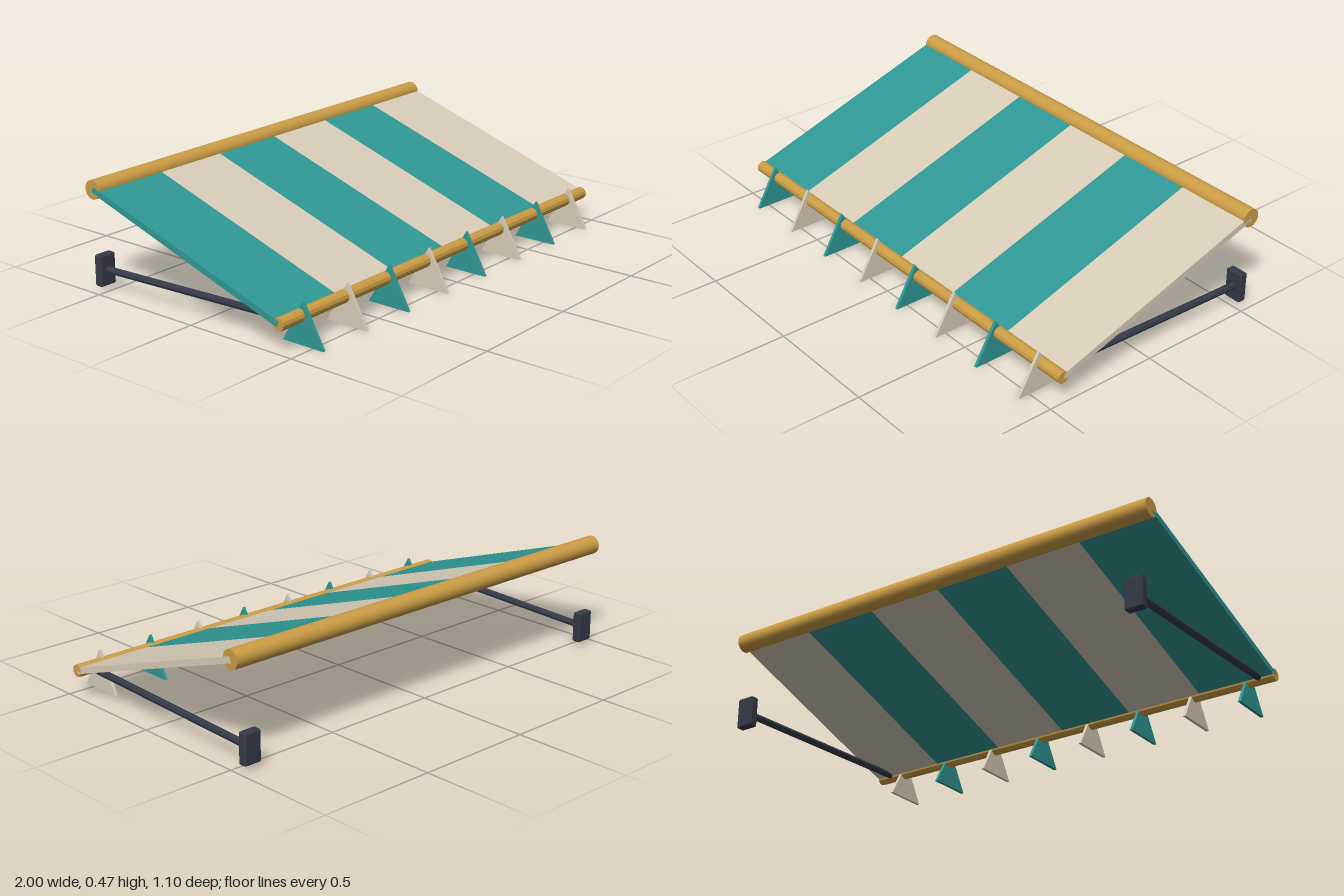
import * as THREE from 'three';
import { RoundedBoxGeometry } from 'three/addons/geometries/RoundedBoxGeometry.js';

const teal = new THREE.MeshStandardMaterial({ name: 'teal cloth', color: 0x2f9895 });
const cream = new THREE.MeshStandardMaterial({ name: 'cream cloth', color: 0xd8cdb9 });
const wood = new THREE.MeshStandardMaterial({ name: 'golden wood', color: 0xcc9d45 });
const iron = new THREE.MeshStandardMaterial({ name: 'dark iron', color: 0x343a48 });
// Same wood, faceted for the front rail
const facetedWood = wood.clone();
facetedWood.flatShading = true;
const facetedIron = iron.clone();
facetedIron.flatShading = true;

export function createModel() {
  const group = new THREE.Group();
  group.name = 'awning';

  const add = (name, geometry, material, x = 0, y = 0, z = 0) => {
    const mesh = new THREE.Mesh(geometry, material);
    mesh.name = name;
    mesh.position.set(x, y, z);
    group.add(mesh);
    return mesh;
  };

  // Rails along x: thick at the wall, thin at the front edge
  const back = new THREE.Vector3(0, 0.428, -0.51);
  const front = new THREE.Vector3(0, 0.115, 0.44);
  add('wallRail', new THREE.CylinderGeometry(0.039, 0.039, 2, 24).rotateZ(Math.PI / 2), wood, 0, back.y, back.z);
  add('frontRail', new THREE.CylinderGeometry(0.026, 0.026, 2, 12).rotateZ(Math.PI / 2), facetedWood, 0, front.y, front.z);

  // Sloping canopy of six alternating strips
  const slope = Math.atan2(back.y - front.y, front.z - back.z);
  const length = back.distanceTo(front);
  const strips = 6;
  const width = 2 / strips;
  for (let i = 0; i < strips; i++) {
    const strip = add('canopyStrip', new THREE.BoxGeometry(width, 0.026, length), i % 2 ? cream : teal,
      -1 + (i + 0.5) * width, (back.y + front.y) / 2, (back.z + front.z) / 2);
    strip.rotation.x = slope;
  }

  // Triangular pennants on the front rail
  const triangle = new THREE.Shape([
    new THREE.Vector2(-0.097, 0), new THREE.Vector2(0.097, 0), new THREE.Vector2(0, 0.17),
  ]);
  const pennant = new THREE.ExtrudeGeometry(triangle, { depth: 0.013, bevelEnabled: false });
  pennant.translate(0, 0, -0.0065).rotateY(Math.PI / 2);
  for (let i = 0; i < 8; i++) {
    add('pennant', pennant, i % 2 ? cream : teal, -0.875 + i * 0.25, 0, 0.453);
  }

  // Support arms and their wall brackets
  for (const side of [-1, 1]) {
    const start = new THREE.Vector3(side * 0.934, 0.082, -0.53);
    const end = new THREE.Vector3(side * 0.934, 0.115, 0.43);
    const direction = end.clone().sub(start);
    const arm = add('supportArm', new THREE.CylinderGeometry(0.015, 0.015, direction.length(), 8), facetedIron);
    arm.position.copy(start).add(end).multiplyScalar(0.5);
    arm.quaternion.setFromUnitVectors(new THREE.Vector3(0, 1, 0), direction.normalize());
    add('wallBracket', new RoundedBoxGeometry(0.078, 0.13, 0.038, 2, 0.008), iron, side * 0.934, 0.083, -0.531);
  }

  return group;
}
